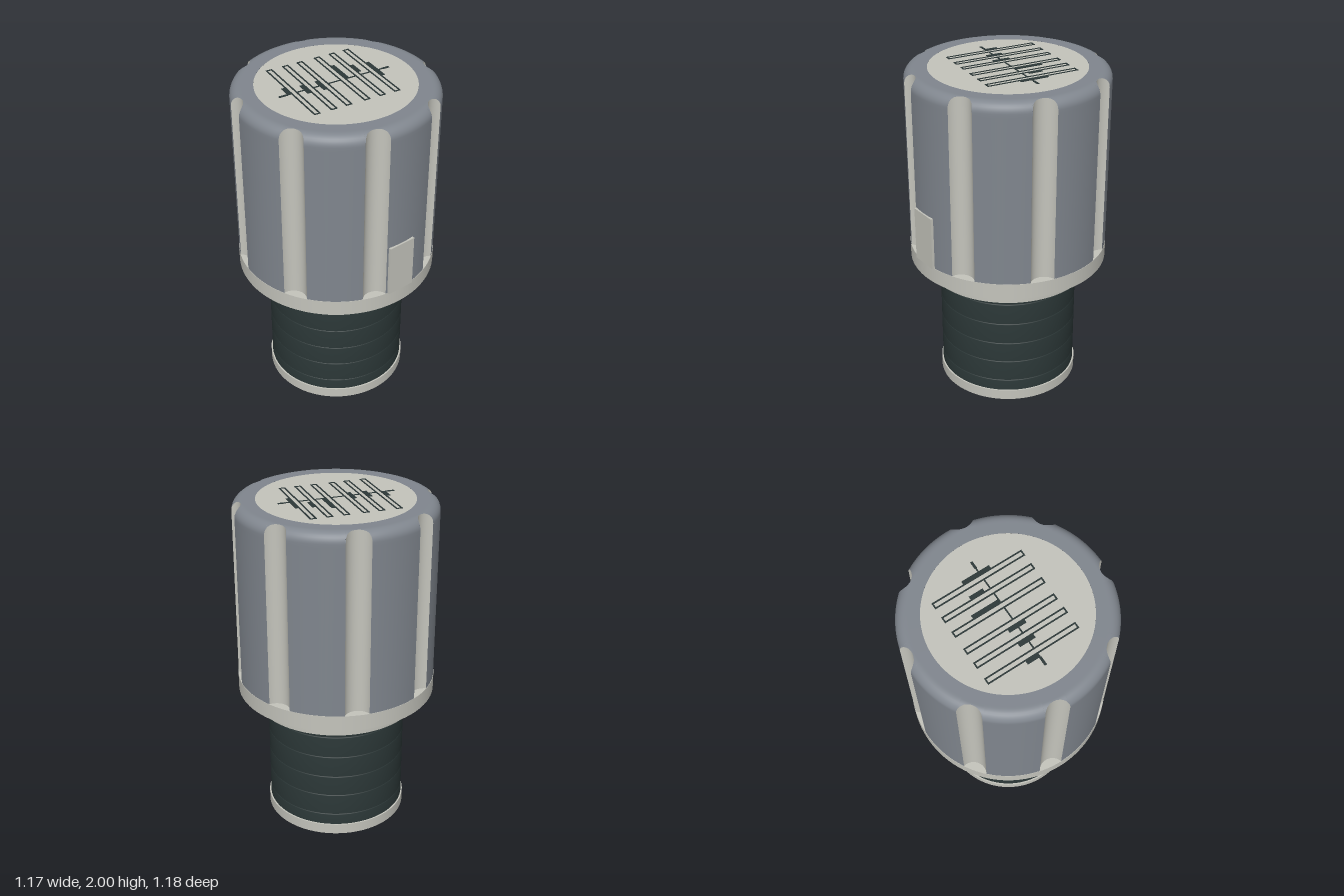
import * as THREE from 'three';

const mat = (name, color) => Object.assign(new THREE.MeshStandardMaterial({ color }), { name });

export function createModel() {
  const pale = mat('paleMetal', 0xc4c4bc);
  const grey = mat('slateGrey', 0x80868e);
  const dark = mat('darkGreen', 0x2c3838);

  const model = new THREE.Group();
  model.name = 'fittedKnob';
  const round = new THREE.Group();
  round.name = 'roundParts';
  round.position.z = -0.008;
  model.add(round);

  const add = (name, geometry, material, parent = round) => {
    const mesh = new THREE.Mesh(geometry, material);
    mesh.name = name;
    parent.add(mesh);
    return mesh;
  };
  const disc = (name, r, y0, y1, material) => {
    add(name, new THREE.CylinderGeometry(r, r, y1 - y0, 96), material).position.y = (y0 + y1) / 2;
  };
  const box = (name, x0, x1, y0, y1, z0, z1, material, parent) => {
    add(name, new THREE.BoxGeometry(x1 - x0, y1 - y0, z1 - z0), material, parent)
      .position.set((x0 + x1) / 2, (y0 + y1) / 2, (z0 + z1) / 2);
  };

  // Surface through columns of [radius, height] points at given angles
  const skin = (angles, column) => {
    const pos = [], index = [];
    let rows = 0;
    angles.forEach((a, i) => {
      const points = column(a);
      rows = points.length;
      points.forEach(([r, y], j) => {
        pos.push(r * Math.sin(a), y, r * Math.cos(a));
        if (i && j) {
          const d = i * rows + j, c = d - rows;
          index.push(c - 1, d - 1, d, c - 1, d, c);
        }
      });
    });
    const g = new THREE.BufferGeometry();
    g.setAttribute('position', new THREE.Float32BufferAttribute(pos, 3));
    g.setIndex(index);
    g.computeVertexNormals();
    return g;
  };

  // Grip: rounded shell cut by eight scooped flutes
  const R = 0.583, fillet = 0.06, top = 1.997, bottom = 0.925, faceR = 0.45;
  const cutR = 0.077, cutAt = 0.61;
  const half = Math.acos((R * R + cutAt * cutAt - cutR * cutR) / (2 * R * cutAt));
  const scoop = a => Math.min(R, cutAt * Math.cos(a)
    - Math.sqrt(Math.max(0, cutR * cutR - (cutAt * Math.sin(a)) ** 2)));
  const arcStart = r => Math.acos(Math.min(1, Math.max(0, (r - R + fillet) / fillet)));
  const arcPoint = t => [R - fillet + fillet * Math.cos(t), top - fillet + fillet * Math.sin(t)];
  const crown = t0 => {
    const points = [];
    for (let i = 0; i <= 8; i++) points.push(arcPoint(t0 + (Math.PI / 2 - t0) * i / 8));
    points.push([R - fillet - 0.01, top], [faceR, top]);
    return points;
  };
  const span = (from, to, n) => Array.from({ length: n + 1 }, (_, i) => from + (to - from) * i / n);

  const fluteAngles = span(-Math.PI / 2, Math.PI / 2, 20).map(t => half * Math.sin(t));
  const panelSkin = skin(span(half, Math.PI / 4 - half, 12),
    () => [[R, bottom], [R, top - fillet - 0.02], ...crown(0)]);
  const crownSkin = skin(fluteAngles, a => crown(arcStart(scoop(a))));
  const fluteSkin = skin(fluteAngles, a => {
    const r = scoop(a);
    return [[r, bottom], [r, arcPoint(arcStart(r))[1]]];
  });
  for (let i = 0; i < 8; i++) {
    const sector = new THREE.Group();
    sector.name = 'gripSector';
    sector.rotation.y = THREE.MathUtils.degToRad(-8.2 + 45 * i);
    add('gripPanel', panelSkin, grey, sector);
    add('gripCrown', crownSkin, grey, sector);
    add('flute', fluteSkin, pale, sector);
    round.add(sector);
  }
  disc('topFace', faceR, top - 0.03, top, pale);

  // Flange and collar under the grip
  disc('flange', 0.585, 0.83, bottom, pale);
  disc('collar', 0.489, 0.745, 0.83, pale);

  // Scale ticks on the underside of the collar
  const scale = new THREE.Group();
  scale.name = 'scale';
  round.add(scale);
  for (let i = 0; i < 100; i++) {
    const length = i % 10 === 0 ? 0.045 : i % 5 === 0 ? 0.035 : 0.025;
    const a = i * Math.PI / 50, r = 0.477 - length / 2;
    const tick = add('tick', new THREE.BoxGeometry(0.007, 0.004, length), dark, scale);
    tick.position.set(r * Math.sin(a), 0.744, r * Math.cos(a));
    tick.rotation.y = a;
  }

  // Shaft with fine grooves
  const shaftR = 0.411;
  const profile = [[shaftR, 0.07]];
  for (const y of [0.145, 0.28, 0.41, 0.545, 0.68]) {
    profile.push([shaftR, y - 0.004], [shaftR - 0.006, y - 0.003],
      [shaftR - 0.006, y + 0.003], [shaftR, y + 0.004]);
  }
  profile.push([shaftR, 0.75]);
  add('shaft', new THREE.LatheGeometry(profile.map(p => new THREE.Vector2(...p)), 96), dark);

  // Foot ring, its dark underside and the centre button
  disc('footRing', 0.42, 0.012, 0.075, pale);
  disc('footPlate', 0.35, 0.008, 0.014, dark);
  const button = add('centreButton',
    new THREE.SphereGeometry(0.07, 32, 8, 0, Math.PI * 2, Math.PI / 2, Math.PI / 2), pale);
  button.scale.y = 0.12;
  button.position.y = 0.0084;

  // Pointer plate on the front of the grip
  const pointer = new THREE.Group();
  pointer.name = 'pointer';
  pointer.rotation.y = THREE.MathUtils.degToRad(8.3);
  round.add(pointer);
  box('pointerPlate', -0.086, 0.086, bottom, 1.245, 0.555, 0.592, pale, pointer);

  // Slider markings on the top face: bar centre, then handle x and z ranges
  const marks = new THREE.Group();
  marks.name = 'topMarkings';
  round.add(marks);
  const mark = (name, x0, x1, z0, z1) => box(name, x0, x1, top - 0.002, 2, z0, z1, dark, marks);
  const w = 0.019, t = 0.008, z0 = -0.302, z1 = 0.253;
  const sliders = [
    [-0.256, -0.296, -0.275, -0.077, -0.002], [-0.155, -0.196, -0.174, -0.057, 0.038],
    [-0.064, -0.102, -0.083, -0.057, 0.046], [0.047, 0.066, 0.086, -0.17, -0.008],
    [0.143, 0.162, 0.181, -0.122, -0.037], [0.236, 0.255, 0.274, -0.107, 0.063],
  ];
  let from = -0.348;
  for (const [x, h0, h1, hz0, hz1] of sliders) {
    mark('slotLeft', x - w, x - w + t, z0, z1);
    mark('slotRight', x + w - t, x + w, z0, z1);
    mark('slotBack', x - w, x + w, z0, z0 + t);
    mark('slotFront', x - w, x + w, z1 - t, z1);
    mark('handle', h0, h1, hz0, hz1);
    mark('centreLine', from, x - w, -0.007, 0.001);
    from = x + w;
  }
  mark('centreLine', from, 0.34, -0.007, 0.001);
  mark('lineEndRight', -0.348, -0.296, -0.01, 0.004);
  mark('lineEndLeft', 0.295, 0.34, -0.01, 0.004);

  return model;
}
